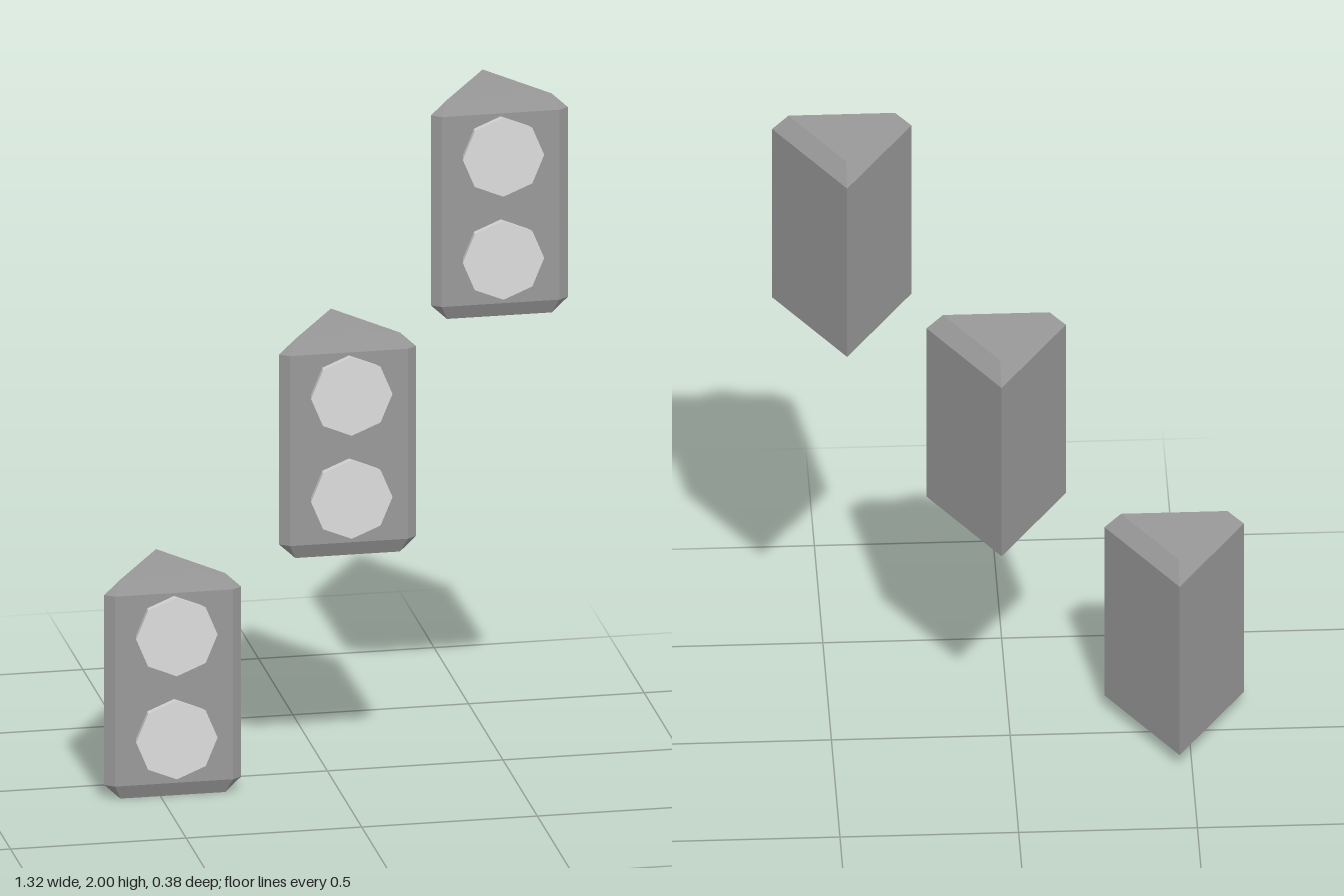
import * as THREE from 'three';
import { ConvexGeometry } from 'three/addons/geometries/ConvexGeometry.js';

const HEIGHT = 0.646;
const BEVEL = 0.043;

// Wedge-shaped housing: triangular prism with bevelled ends and clipped front corners
function housingGeometry() {
  const endCap = [[0, -0.116], [0.149, 0.126], [-0.149, 0.126]];
  const section = [[0, -0.191], [0.195, 0.126], [0.168, 0.146], [-0.168, 0.146], [-0.195, 0.126]];
  const points = [];
  const addLoop = (loop, y) => loop.forEach(([x, z]) => points.push(new THREE.Vector3(x, y, z)));
  addLoop(endCap, 0);
  addLoop(section, BEVEL);
  addLoop(section, HEIGHT - BEVEL);
  addLoop(endCap, HEIGHT);
  return new ConvexGeometry(points);
}

export function createModel() {
  const housingMat = new THREE.MeshStandardMaterial({ color: 0x999999 });
  housingMat.name = 'housing grey';
  const lampMat = new THREE.MeshStandardMaterial({ color: 0xdcdcdc });
  lampMat.name = 'lamp light grey';

  const housingGeo = housingGeometry();

  // Octagonal lamp, flaring slightly towards the front
  const lampGeo = new THREE.CylinderGeometry(0.116, 0.108, 0.04, 8).toNonIndexed();
  lampGeo.rotateX(Math.PI / 2);
  lampGeo.computeVertexNormals();

  const model = new THREE.Group();
  model.name = 'lampStack';

  // Three identical units stepping up from one side to the other
  [[-0.465, 0], [0.033, 0.677], [0.465, 1.354]].forEach(([x, y], i) => {
    const unit = new THREE.Group();
    unit.name = `lampUnit${i + 1}`;
    unit.position.set(x, y, 0);

    const housing = new THREE.Mesh(housingGeo, housingMat);
    housing.name = 'housing';
    unit.add(housing);

    [['lowerLamp', 0.183], ['upperLamp', 0.487]].forEach(([name, lampY]) => {
      const lamp = new THREE.Mesh(lampGeo, lampMat);
      lamp.name = name;
      lamp.position.set(0, lampY, 0.167);
      unit.add(lamp);
    });
    model.add(unit);
  });

  return model;
}
